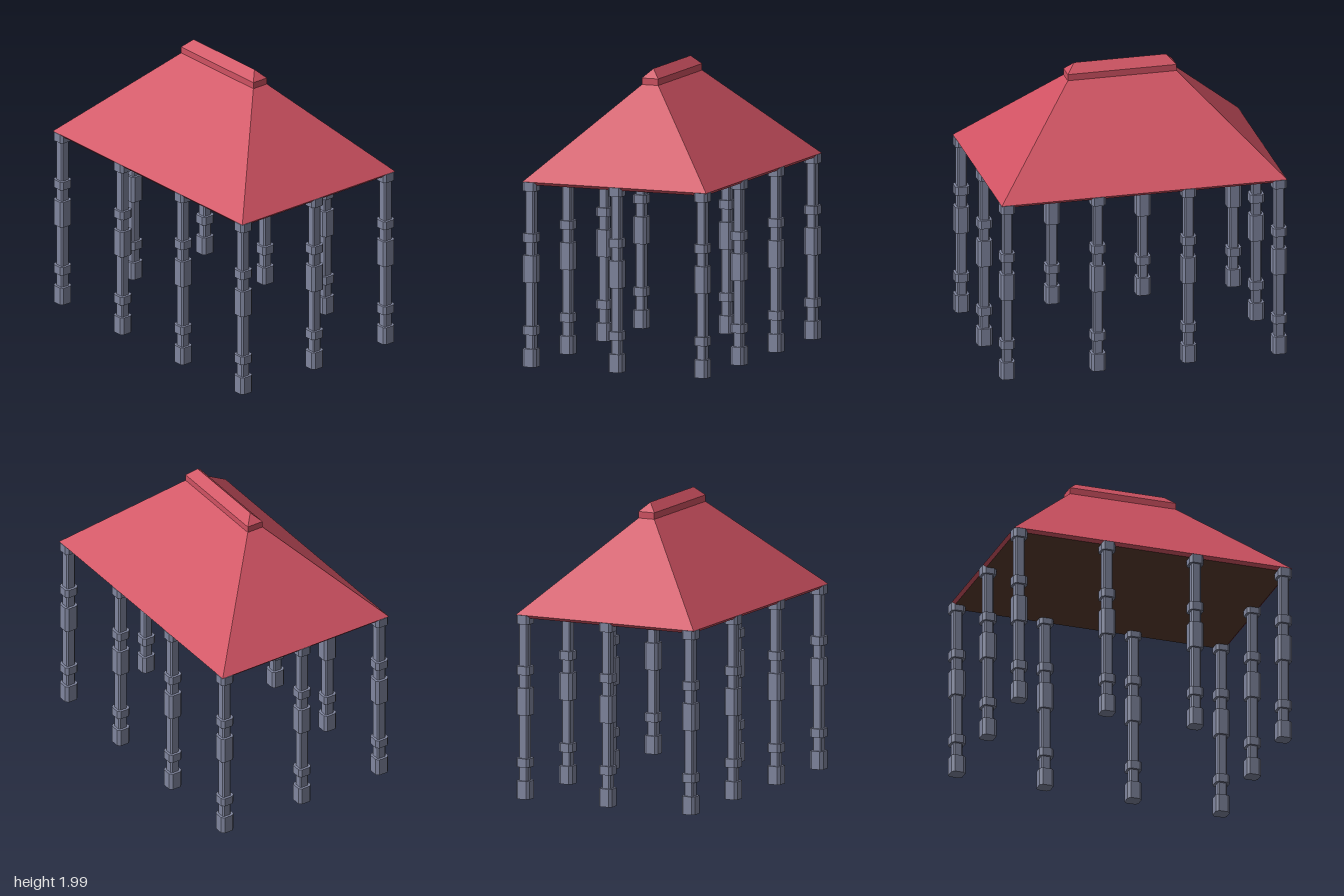
import * as THREE from 'three';
import { mergeGeometries } from 'three/addons/utils/BufferGeometryUtils.js';

// Flat-faced skin through rectangular rings [halfX, y, halfZ], listed bottom to top
function loftRects(rings) {
  const pos = [];
  const corners = ([w, y, d]) => [[w, y, d], [w, y, -d], [-w, y, -d], [-w, y, d]];
  for (let r = 0; r + 1 < rings.length; r++) {
    const lo = corners(rings[r]), hi = corners(rings[r + 1]);
    for (let i = 0; i < 4; i++) {
      const j = (i + 1) % 4;
      pos.push(...lo[i], ...lo[j], ...hi[j], ...lo[i], ...hi[j], ...hi[i]);
    }
  }
  const g = new THREE.BufferGeometry();
  g.setAttribute('position', new THREE.Float32BufferAttribute(pos, 3));
  g.computeVertexNormals();
  return g;
}

// Upright square bar with chamfered corners
function chamferedBar(half, chamfer, y0, y1) {
  const a = half, b = half - chamfer;
  const shape = new THREE.Shape([
    [a, -b], [a, b], [b, a], [-b, a], [-a, b], [-a, -b], [-b, -a], [b, -a],
  ].map(([x, y]) => new THREE.Vector2(x, y)));
  const g = new THREE.ExtrudeGeometry(shape, { depth: y1 - y0, bevelEnabled: false });
  return g.rotateX(-Math.PI / 2).translate(0, y0, 0);
}

export function createModel() {
  const model = new THREE.Group();
  model.name = 'pavilion';

  const roofRed = new THREE.MeshStandardMaterial({ color: 0xd05262 });
  roofRed.name = 'roofRed';
  const stone = new THREE.MeshStandardMaterial({ color: 0x80869f });
  stone.name = 'columnStone';
  const wood = new THREE.MeshStandardMaterial({ color: 0x5c3e30 });
  wood.name = 'ceilingWood';

  const add = (name, geometry, material) => {
    const mesh = new THREE.Mesh(geometry, material);
    mesh.name = name;
    model.add(mesh);
    return mesh;
  };

  // Hipped roof with an undercut rim
  add('roof', loftRects([[0.657, 1.247, 0.977], [0.677, 1.268, 0.997], [0.06, 1.885, 0.38]]), roofRed);

  // Raised cap along the ridge
  add('ridgeCap', loftRects([[0.06, 1.885, 0.38], [0.06, 1.93, 0.38], [0, 1.99, 0.32]]), roofRed);

  // Ceiling facing down
  const ceiling = new THREE.PlaneGeometry(1.314, 1.954).rotateX(Math.PI / 2).translate(0, 1.247, 0);
  add('ceiling', ceiling, wood);

  // Column: slim shaft with base, rings, drum and capital
  const bands = [[0, 0.125], [0.22, 0.28], [0.578, 0.765], [0.855, 0.915], [1.205, 1.267]];
  const column = mergeGeometries([
    chamferedBar(0.033, 0.009, 0.1, 1.22),
    ...bands.map(([y0, y1]) => chamferedBar(0.05, 0.018, y0, y1)),
  ]);

  // Columns around the perimeter
  for (const x of [-0.63, 0, 0.63]) {
    for (const z of [-0.95, -0.317, 0.317, 0.95]) {
      if (x === 0 && Math.abs(z) < 0.5) continue;
      add('column', column, stone).position.set(x, 0, z);
    }
  }
  return model;
}
